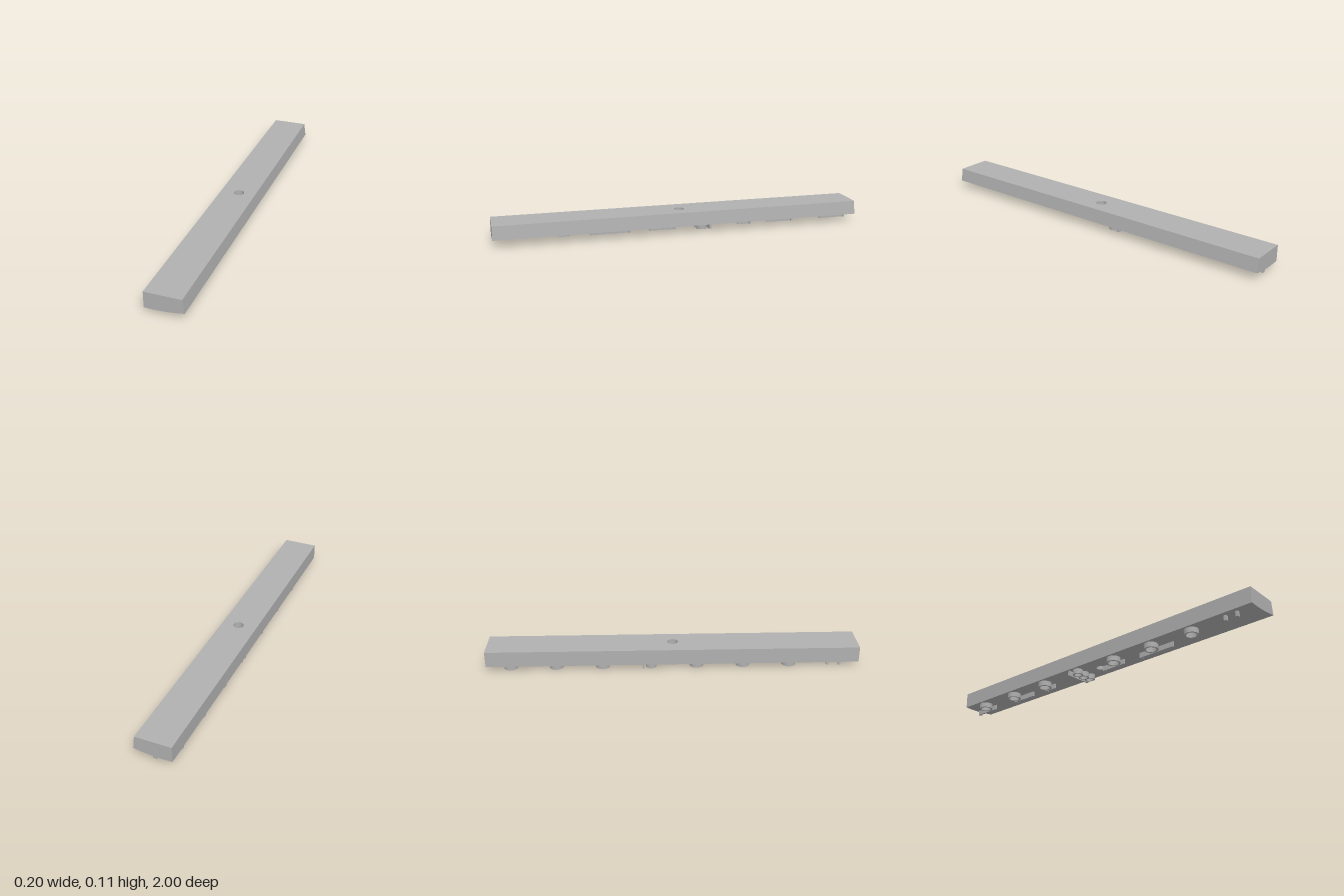
import * as THREE from 'three';

const TOP = 0.115, RELIEF = 0.028, HOLE_R = 0.028, MID = 0.045;
// gently curved underside of the bar
const under = (x) => 0.028 + 0.6 * (x + 0.055) ** 2;

// moves every vertex by a rule, then rebuilds crisp normals
function warp(geometry, rule) {
  const g = geometry.index ? geometry.toNonIndexed() : geometry;
  const p = g.attributes.position;
  for (let i = 0; i < p.count; i++) p.setXYZ(i, ...rule(p.getX(i), p.getY(i), p.getZ(i)));
  g.computeVertexNormals();
  return g;
}

// raised relief that follows the curved underside (input height 0..1)
const drape = (g) => warp(g, (x, y, z) => [x, under(x) - RELIEF + y * (RELIEF + 0.003), z]);

// extrudes a plan outline (x, -z) upwards from 0 to 1
function upright(shape, curveSegments) {
  return new THREE.ExtrudeGeometry(shape, { depth: 1, steps: 1, bevelEnabled: false, curveSegments })
    .rotateX(-Math.PI / 2);
}

function ringGeometry(x, z, r, wall = 0.009) {
  const s = new THREE.Shape().absarc(x, -z, r, 0, Math.PI * 2, false);
  s.holes.push(new THREE.Path().absarc(x, -z, r - wall, 0, Math.PI * 2, true));
  return drape(upright(s, 32));
}

function ribGeometry(x0, x1, z0, z1) {
  const g = new THREE.BoxGeometry(x1 - x0, 1, Math.abs(z1 - z0), 10, 1, 1);
  return drape(g.translate((x0 + x1) / 2, 0.5, (z0 + z1) / 2));
}

export function createModel() {
  const model = new THREE.Group();
  const grey = new THREE.MeshStandardMaterial({ color: 0xb0b0b0 });
  grey.name = 'grey';
  const add = (name, geometry) => {
    const mesh = new THREE.Mesh(geometry, grey);
    mesh.name = name;
    model.add(mesh);
  };

  // bar ends: cross-section with a sloped side and curved underside
  const N = 20;
  const xs = Array.from({ length: N + 1 }, (_, i) => -0.1 + (0.2 * i) / N);
  const section = new THREE.Shape([
    ...xs.map((x) => new THREE.Vector2(x, under(x))),
    new THREE.Vector2(0.09, TOP), new THREE.Vector2(-0.1, TOP),
  ]);
  for (const [name, z] of [['barFront', MID], ['barBack', -1]]) {
    const g = new THREE.ExtrudeGeometry(section, { depth: 1 - MID, steps: 1, bevelEnabled: false });
    add(name, g.translate(0, 0, z));
  }

  // bar middle with the vertical through hole
  const plan = new THREE.Shape([
    ...xs.map((x) => new THREE.Vector2(x, -MID)),
    ...[...xs].reverse().map((x) => new THREE.Vector2(x, MID)),
  ]);
  plan.holes.push(new THREE.Path().absarc(0, 0, HOLE_R, 0, Math.PI * 2, true));
  add('barMiddle', warp(upright(plan, 32), (x, y, z) => (y > 0.5
    ? [x > 0.04 ? 0.04 + (x - 0.04) * 5 / 6 : x, TOP, z]
    : [x, under(x), z])));

  // two small pegs near the front end
  for (const z of [0.903, 0.838]) add('peg', ribGeometry(-0.078, -0.062, z - 0.007, z + 0.007));

  // evenly spaced rings, most with a rib alongside that ends in a short post
  const marks = [
    [0.628], [0.378, 0.485, 0.27], [0.128, 0.165, 0.02],
    [-0.378, -0.34, -0.415], [-0.628, -0.515, -0.665], [-0.873, -0.835, -0.985],
  ];
  for (const [z, start, end] of marks) {
    add('ring', ringGeometry(-0.053, z, 0.0375));
    if (start === undefined) continue;
    add('rib', ribGeometry(-0.012, -0.002, start, end));
    add('ribPost', ribGeometry(-0.012, 0.008, end + 0.01, end));
  }

  // crosswise rib with a row of three small rings
  add('crossRib', ribGeometry(-0.09, 0.068, -0.155, -0.165));
  for (const x of [0.036, -0.014, -0.062]) add('smallRing', ringGeometry(x, -0.118, 0.028, 0.008));

  return model;
}
